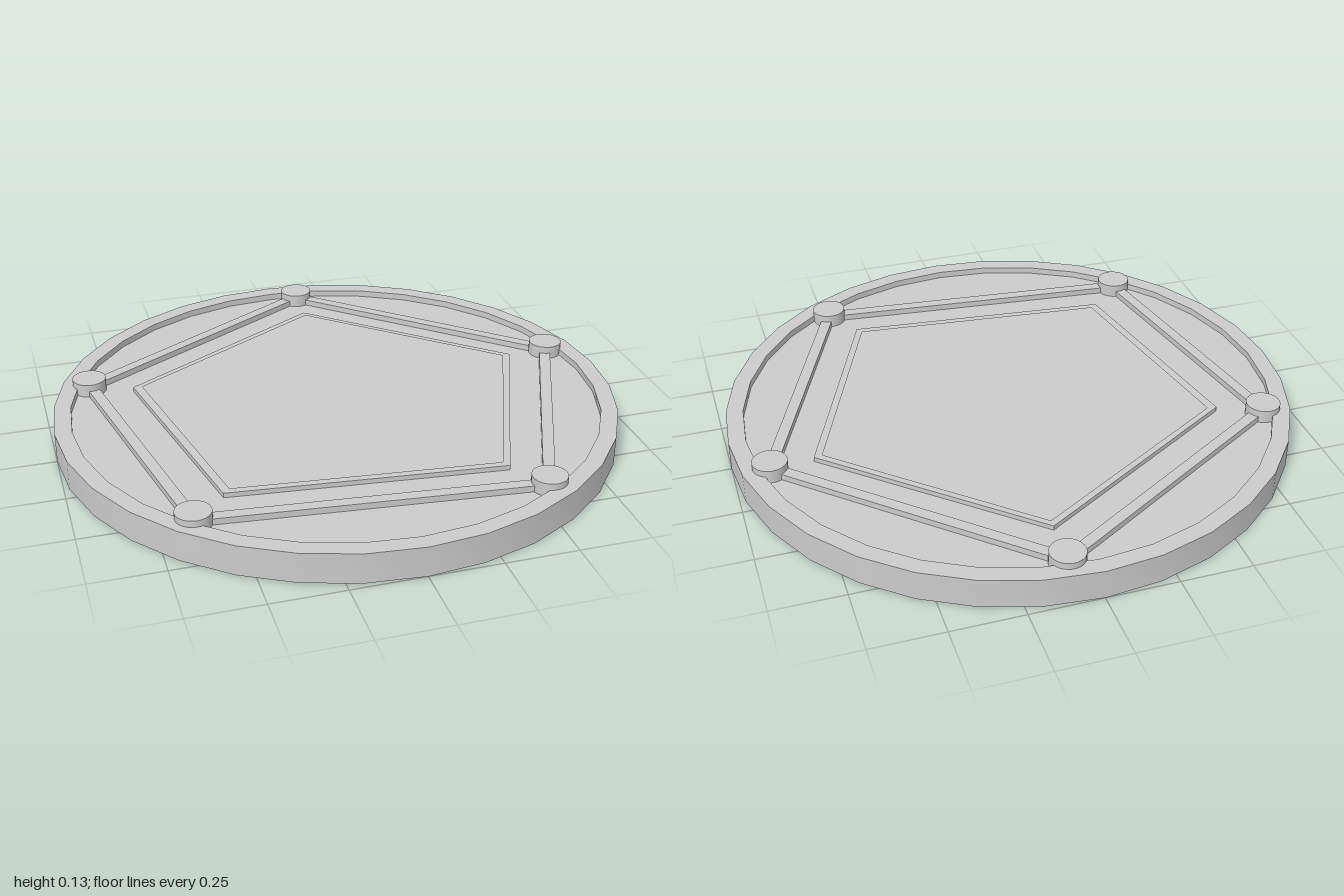
import * as THREE from 'three';
import { toCreasedNormals } from 'three/addons/utils/BufferGeometryUtils.js';

const FLOOR = 0.083;
const material = new THREE.MeshStandardMaterial({ color: 0xcccccc });

function addMesh(parent, name, geometry, x = 0, y = 0, z = 0) {
  const mesh = new THREE.Mesh(geometry, material);
  mesh.name = name;
  mesh.position.set(x, y, z);
  parent.add(mesh);
  return mesh;
}

// Corner lists are [x, z] on the ground plane.
const toPoints = (corners) => corners.map(([x, z]) => new THREE.Vector2(x, -z));

export function createModel() {
  const model = new THREE.Group();
  model.name = 'pentagonDisc';

  // Round tray with a raised rim and a shallow recessed floor
  const profile = [[0, 0], [1, 0], [1, 0.107], [0.94, 0.107], [0.94, FLOOR], [0, FLOOR]]
    .map(([r, y]) => new THREE.Vector2(r, y));
  addMesh(model, 'tray', toCreasedNormals(new THREE.LatheGeometry(profile, 32), 0.6));

  // Studs at the five corners, joined by straight bars
  const studs = [[0.09, -0.9], [0.885, -0.17], [0.5, 0.75], [-0.645, 0.64], [-0.835, -0.345]];
  const studHeight = 0.13 - FLOOR;
  const barHeight = 0.105 - FLOOR;
  studs.forEach(([x, z], i) => {
    addMesh(model, 'stud', new THREE.CylinderGeometry(0.06, 0.06, studHeight, 32),
      x, FLOOR + studHeight / 2, z);

    const [nx, nz] = studs[(i + 1) % studs.length];
    const length = Math.hypot(nx - x, nz - z);
    const bar = addMesh(model, 'bar', new THREE.BoxGeometry(length, barHeight, 0.04),
      (x + nx) / 2, FLOOR + barHeight / 2, (z + nz) / 2);
    bar.rotation.y = -Math.atan2(nz - z, nx - x);
  });

  // Thin raised frame inside the bars
  const outer = [[0.08, -0.74], [0.735, -0.155], [0.42, 0.615], [-0.525, 0.52], [-0.685, -0.285]];
  const inner = [[0.08, -0.712], [0.705, -0.15], [0.405, 0.588], [-0.5, 0.497], [-0.652, -0.28]];
  const shape = new THREE.Shape(toPoints(outer));
  shape.holes.push(new THREE.Path(toPoints(inner)));
  const frame = new THREE.ExtrudeGeometry(shape, { depth: 0.1 - FLOOR, bevelEnabled: false });
  frame.rotateX(-Math.PI / 2);
  addMesh(model, 'innerFrame', frame, 0, FLOOR, 0);

  return model;
}
